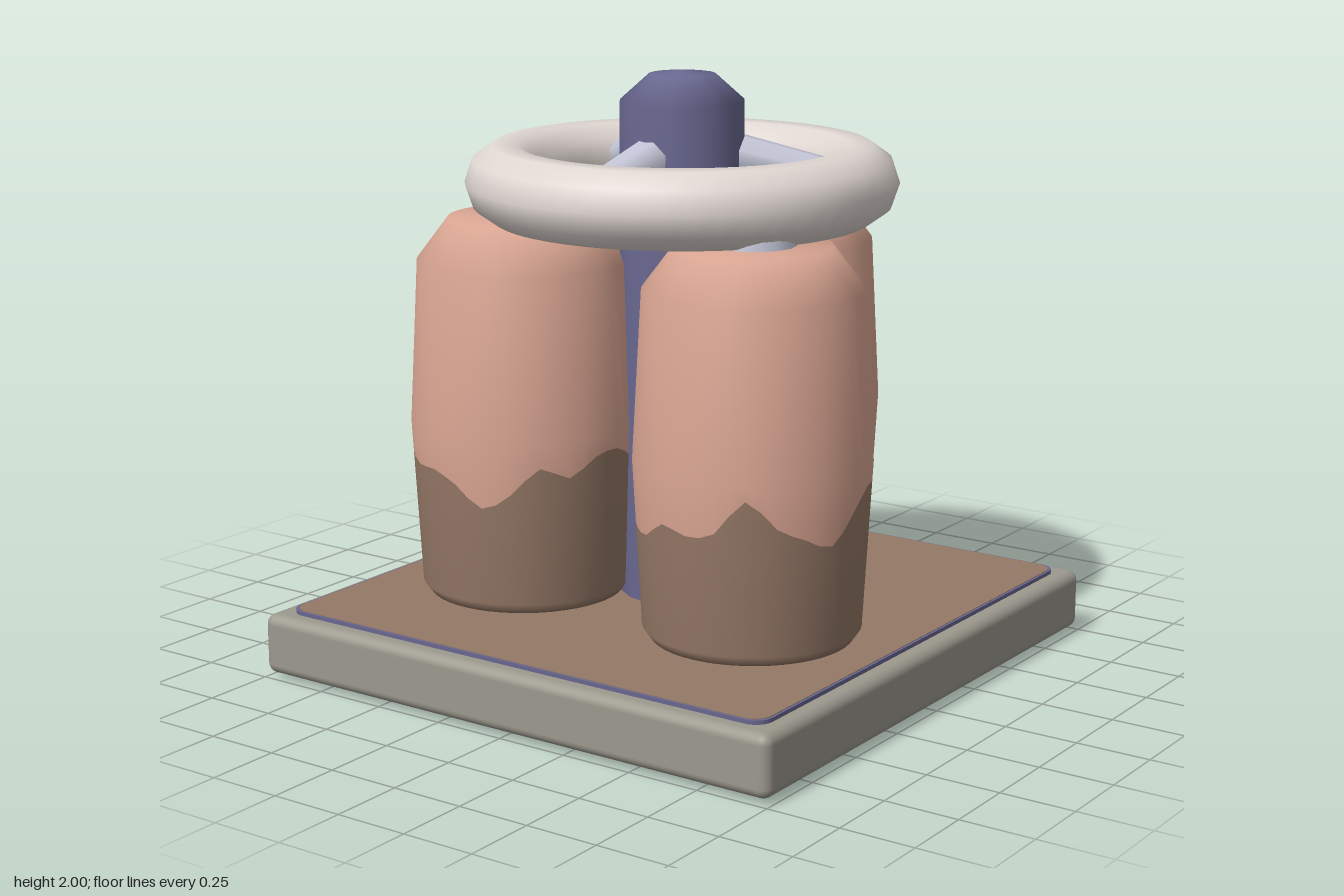
import * as THREE from 'three';
import { RoundedBoxGeometry } from 'three/addons/geometries/RoundedBoxGeometry.js';

const mat = (name, color) => {
  const m = new THREE.MeshStandardMaterial({ color });
  m.name = name;
  return m;
};
const v2 = (x, y) => new THREE.Vector2(x, y);

// Height of the wavy soil line, every 15 degrees from +z towards +x
const soilLines = {
  left: [.65, .67, .78, .69, .645, .61, .70, .765, .75, .755, .77, .77,
    .72, .68, .65, .70, .74, .70, .66, .64, .62, .61, .61, .67],
  right: [.67, .60, .65, .74, .70, .76, .77, .72, .66, .62, .64, .70,
    .74, .70, .62, .60, .65, .70, .71, .70, .71, .72, .70, .705],
  back: [.66, .66, .63, .62, .79, .69, .71, .64, .595, .585, .60, .61,
    .65, .72, .76, .70, .64, .62, .66, .73, .75, .70, .65, .64],
};

// Lathe whose points at the given row follow the soil line
function barrelPart(profile, row, line) {
  const segments = 48;
  const g = new THREE.LatheGeometry(profile, segments);
  const pos = g.attributes.position;
  for (let i = 0; i <= segments; i++) {
    const k = Math.floor(i / 2), at = (n) => line[(n + 24) % 24];
    const y = i % 2
      ? (9 * (at(k) + at(k + 1)) - at(k - 1) - at(k + 2)) / 16
      : at(k);
    const r = 0.355 + 0.03 * (y - 0.27) / 0.55;
    const a = (i / segments) * Math.PI * 2;
    pos.setXYZ(i * profile.length + row, r * Math.sin(a), y, r * Math.cos(a));
  }
  return g;
}

export function createModel() {
  const model = new THREE.Group();
  const stone = mat('grey stone', 0x9c998e);
  const brown = mat('soil brown', 0x947866);
  const purple = mat('purple metal', 0x68678f);
  const salmon = mat('salmon', 0xd9a592);
  const ivory = mat('ivory', 0xe0d7d2);
  const pale = mat('pale lavender', 0xc6c8da);

  const add = (name, geometry, material, parent = model) => {
    const mesh = new THREE.Mesh(geometry, material);
    mesh.name = name;
    parent.add(mesh);
    return mesh;
  };

  // Square base with a raised inlay showing above and below
  add('base', new RoundedBoxGeometry(2, 0.205, 2, 3, 0.035), stone).position.y = 0.1175;

  const h = 0.94, c = 0.06;
  const square = new THREE.Shape();
  square.absarc(h - c, h - c, c, 0, Math.PI / 2);
  square.absarc(c - h, h - c, c, Math.PI / 2, Math.PI);
  square.absarc(c - h, c - h, c, Math.PI, Math.PI * 1.5);
  square.absarc(h - c, c - h, c, Math.PI * 1.5, Math.PI * 2);
  const rim = new THREE.ExtrudeGeometry(square, { depth: 0.231, bevelEnabled: false, curveSegments: 5 });
  add('inlayRim', rim.rotateX(-Math.PI / 2), purple).position.y = 0.002;
  const inlay = new THREE.ExtrudeGeometry(square, { depth: 0.235, bevelEnabled: false, curveSegments: 5 });
  add('inlay', inlay.scale(0.991, 0.991, 1).rotateX(-Math.PI / 2), brown);

  // Central pole with a faceted dome
  const poleProfile = [v2(0.208, 0.2), v2(0.208, 1.9), v2(0.11, 1.988), v2(0, 2)];
  add('pole', new THREE.LatheGeometry(poleProfile, 16), purple);

  // Three barrels, each with a soiled lower part and a pad under the wheel
  const lower = [v2(0, 0.235), v2(0.33, 0.235), v2(0.355, 0.27), v2(0.375, 0.65)];
  const upper = [v2(0.375, 0.65), v2(0.385, 0.82), v2(0.355, 1.37), v2(0.25, 1.51), v2(0, 1.51)];
  const places = { left: Math.PI / 3, right: -Math.PI / 3, back: Math.PI };
  for (const [side, angle] of Object.entries(places)) {
    const barrel = new THREE.Group();
    barrel.name = side + 'Barrel';
    barrel.position.set(0.53 * Math.sin(angle), 0, 0.53 * Math.cos(angle));
    model.add(barrel);
    add('barrelBottom', barrelPart(lower, 3, soilLines[side]), brown, barrel);
    add('barrelTop', barrelPart(upper, 0, soilLines[side]), salmon, barrel);
    add('pad', new THREE.CylinderGeometry(0.13, 0.14, 0.07, 16), pale, barrel).position.y = 1.515;
  }

  // Wheel rim
  const wheel = add('wheelRim', new THREE.TorusGeometry(0.583, 0.132, 10, 48), ivory);
  wheel.rotation.x = Math.PI / 2;
  wheel.scale.z = 0.98;
  wheel.position.y = 1.637;

  // Tapered spokes sloping down from the pole to the wheel rim
  for (let i = 0; i < 3; i++) {
    const spoke = new THREE.Group();
    spoke.name = 'spoke';
    spoke.rotation.y = (i * Math.PI * 2) / 3;
    model.add(spoke);
    const bar = new THREE.CylinderGeometry(0.058, 0.08, 0.5, 8);
    bar.rotateY(Math.PI / 8);
    const mesh = add('spokeBar', bar, pale, spoke);
    mesh.rotation.x = Math.PI / 2 + 0.22;
    mesh.position.set(0, 1.69, 0.32);
  }
  return model;
}
